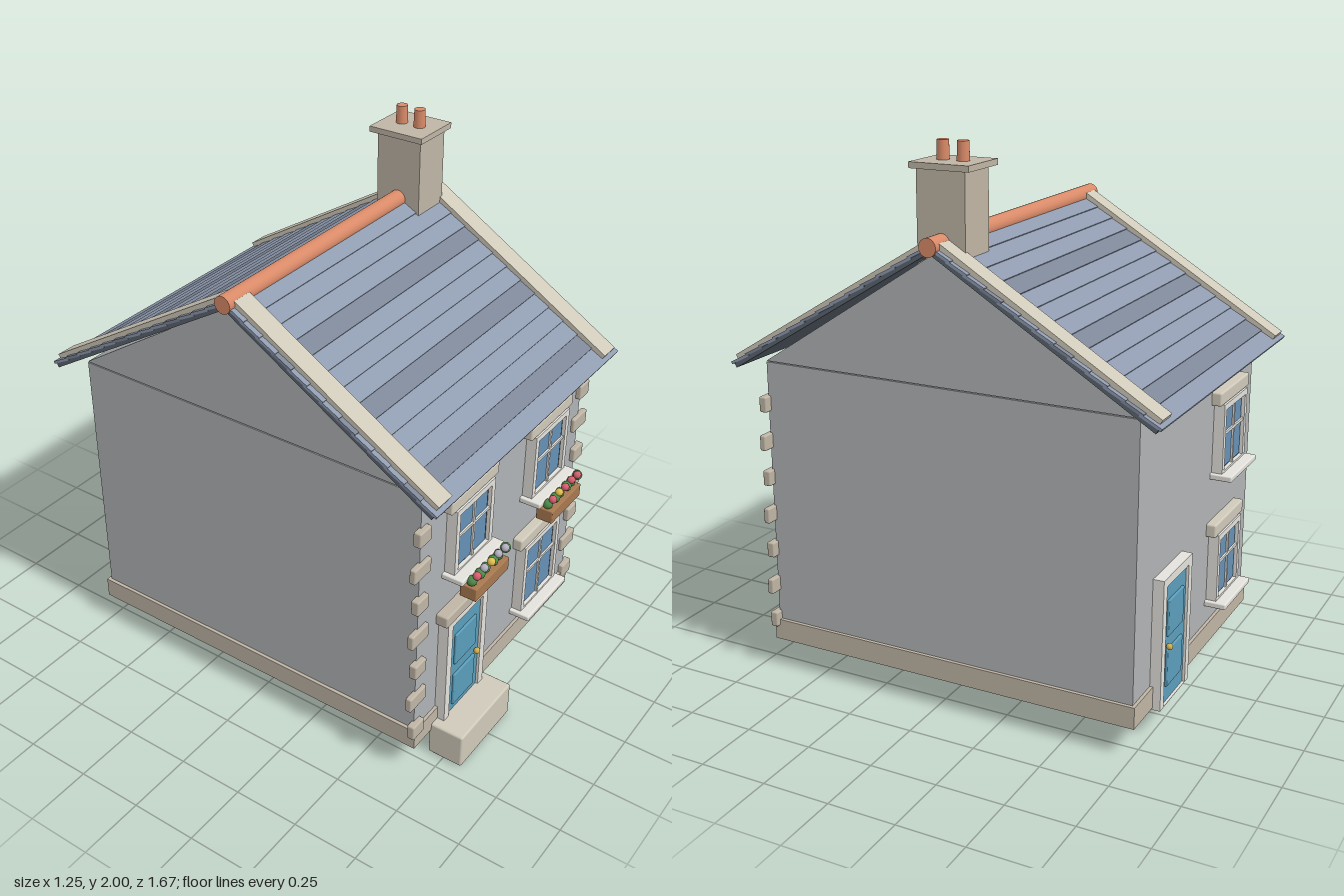
import * as THREE from 'three';
import { RoundedBoxGeometry } from 'three/addons/geometries/RoundedBoxGeometry.js';

const mat = (color) => new THREE.MeshStandardMaterial({ color });
const M = {
  wall: mat(0xb0b3b5), stone: mat(0xbfb5a5), paleStone: mat(0xcfc9b9), trim: mat(0xe4e2dc),
  slate: mat(0x8f9bb0), darkSlate: mat(0x7d8798), underlay: mat(0x5c6470), clay: mat(0xd98a68),
  glass: mat(0x6690b4), sash: mat(0x3a4c5e), door: mat(0x5a9dba), brass: mat(0xd0b050),
  wood: mat(0xa8794f), leaf: mat(0x4f8a4a), pink: mat(0xd8606f), yellow: mat(0xe0c050), lilac: mat(0xb5b2c0),
};
const MID = -0.03, FRONT = 0.685, BACK = -0.745;

function add(parent, name, geometry, material, x = 0, y = 0, z = 0) {
  const mesh = new THREE.Mesh(geometry, material);
  mesh.name = name;
  mesh.position.set(x, y, z);
  parent.add(mesh);
  return mesh;
}
// Box given by its limits
function box(parent, name, m, x0, x1, y0, y1, z0, z1, round = 0) {
  const s = [x1 - x0, y1 - y0, z1 - z0];
  const g = round ? new RoundedBoxGeometry(...s, 2, round) : new THREE.BoxGeometry(...s);
  return add(parent, name, g, m, (x0 + x1) / 2, (y0 + y1) / 2, (z0 + z1) / 2);
}
// Rectangular frame with an opening
function frame(parent, name, m, w, y0, y1, rim, bottomRim, depth) {
  const rect = (P, a, b, c, d) => new P([[a, c], [b, c], [b, d], [a, d]].map((p) => new THREE.Vector2(...p)));
  const s = rect(THREE.Shape, -w, w, y0, y1);
  s.holes.push(rect(THREE.Path, -w + rim, w - rim, y0 + bottomRim, y1 - rim));
  add(parent, name, new THREE.ExtrudeGeometry(s, { depth, bevelEnabled: false }), m);
}

// Window in a local frame: wall plane at z = 0, y = 0 at the sill top
function makeWindow(w, h, midY) {
  const g = new THREE.Group();
  g.name = 'window';
  frame(g, 'windowFrame', M.trim, w, -0.01, h, 0.022, 0.02, 0.04);
  box(g, 'sash', M.sash, -w + 0.02, w - 0.02, 0, h - 0.02, 0, 0.026);
  box(g, 'glass', M.glass, -w + 0.03, w - 0.03, 0.015, h - 0.03, 0, 0.029);
  box(g, 'mullion', M.trim, -0.005, 0.005, 0, h - 0.02, 0.02, 0.036);
  box(g, 'transom', M.trim, -w + 0.022, w - 0.022, midY - 0.005, midY + 0.005, 0.02, 0.036);
  box(g, 'windowSill', M.trim, -w - 0.016, w + 0.016, -0.02, 0.002, -0.01, 0.081, 0.005);
  box(g, 'lintel', M.paleStone, -w - 0.029, w + 0.029, h, h + 0.05, -0.01, 0.036, 0.007);
  return g;
}

// Door in a local frame: wall plane at z = 0, y in world height
function makeDoor(knobSide, y0) {
  const g = new THREE.Group();
  g.name = 'door';
  frame(g, 'doorFrame', M.trim, 0.133, y0, 0.587, 0.032, 0.002, 0.04);
  box(g, 'doorLeaf', M.door, -0.102, 0.102, y0 + 0.002, 0.556, 0, 0.03);
  for (const [a, b] of [[0.165, 0.305], [0.355, 0.49]])
    box(g, 'doorPanel', M.door, -0.07, 0.07, a, b, 0.025, 0.038, 0.004);
  add(g, 'doorKnob', new THREE.SphereGeometry(0.012, 16, 10), M.brass, knobSide * 0.072, 0.322, 0.044);
  return g;
}

// Planter with leaves and blossoms
function makeWindowBox(colors) {
  const g = new THREE.Group();
  g.name = 'windowBox';
  box(g, 'planter', M.wood, -0.11, 0.11, 0.7, 0.752, 0.055, 0.12, 0.004);
  const leaf = new THREE.SphereGeometry(0.019, 12, 8), bud = new THREE.SphereGeometry(0.015, 12, 8);
  for (let i = 0; i < 6; i++)
    add(g, 'leaves', leaf, M.leaf, -0.092 + i * 0.043, 0.768 + (i % 2) * 0.006, 0.09 + (i % 2) * 0.006);
  colors.forEach((c, i) => add(g, 'blossom', bud, M[c], -0.085 + i * 0.047, 0.79 + (i % 2) * 0.004, 0.105));
  return g;
}

// One roof slope: local z runs down from the ridge
function makeSlope() {
  const g = new THREE.Group(), length = 0.932, rows = 13, pitch = length / rows;
  g.name = 'roofSlope';
  box(g, 'roofBoard', M.underlay, -0.62, 0.62, 0, 0.016, 0, length - 0.003);
  for (let i = 0; i < rows; i++) {
    const row = box(g, 'slateRow', i % 4 === 1 ? M.darkSlate : M.slate, -0.622, 0.622, 0.015, 0.025, 0, pitch + 0.012);
    row.position.z = length - (i + 0.5) * pitch;
    row.rotation.x = -0.06;
  }
  for (const s of [-1, 1])
    box(g, 'coping', M.paleStone, s * 0.563 - 0.039, s * 0.563 + 0.039, 0.012, 0.043, 0, length - 0.012);
  g.rotation.x = Math.atan2(0.485, 0.797);
  return g;
}

export function createModel() {
  const house = new THREE.Group();
  house.name = 'house';

  // Walls, plinth and gable
  box(house, 'walls', M.wall, -0.55, 0.55, 0.12, 1.188, BACK, FRONT);
  box(house, 'plinth', M.stone, -0.563, 0.563, 0.11, 0.19, BACK - 0.012, FRONT + 0.012);
  const tri = new THREE.Shape([[-0.715, 1.192], [0.715, 1.192], [0, 1.655]].map((p) => new THREE.Vector2(...p)));
  const gable = add(house, 'gable', new THREE.ExtrudeGeometry(tri, { depth: 1.1, bevelEnabled: false }), M.wall, -0.55, 0, MID);
  gable.rotation.y = Math.PI / 2;
  box(house, 'wallJoint', M.wall, -0.545, 0.545, 1.18, 1.2, BACK + 0.01, FRONT - 0.01);

  // Roof slopes and ridge
  for (const turn of [0, Math.PI]) {
    const side = new THREE.Group();
    side.name = turn ? 'backRoof' : 'frontRoof';
    side.position.set(0, 1.657, MID);
    side.rotation.y = turn;
    side.add(makeSlope());
    house.add(side);
  }
  const ridge = add(house, 'ridge', new THREE.CylinderGeometry(0.032, 0.032, 1.255, 24), M.clay, 0, 1.677, MID);
  ridge.rotation.z = Math.PI / 2;

  // Chimney
  box(house, 'chimneyStack', M.stone, 0.378, 0.537, 1.56, 1.917, -0.12, 0.06);
  box(house, 'chimneyCap', M.stone, 0.357, 0.555, 1.914, 1.935, -0.143, 0.077);
  for (const z of [0.005, -0.07])
    add(house, 'chimneyPot', new THREE.CylinderGeometry(0.02, 0.022, 0.08, 20), M.clay, 0.456, 1.96, z);

  // Corner stones, alternating short and long
  for (const s of [-1, 1]) for (let i = 0; i < 7; i++) {
    const half = i % 2 ? 0.05 : 0.034, y = 0.195 + i * 0.14;
    box(house, 'cornerStone', M.stone, s * 0.547 - half, s * 0.547 + half, y - 0.029, y + 0.029,
      FRONT - 0.01, FRONT + (i % 2 ? 0.014 : 0.02), 0.006);
  }

  // Front and back openings; the back group is turned around
  const front = new THREE.Group(), back = new THREE.Group();
  front.name = 'frontOpenings';
  back.name = 'backOpenings';
  front.position.z = FRONT;
  back.position.z = BACK;
  back.rotation.y = Math.PI;
  house.add(front, back);
  const place = (parent, part, x, y = 0) => { part.position.set(x, y, 0); parent.add(part); };
  place(front, makeWindow(0.123, 0.262, 0.147), -0.267, 0.784);
  place(front, makeWindow(0.123, 0.262, 0.147), 0.264, 0.784);
  place(front, makeWindow(0.133, 0.298, 0.168), 0.262, 0.268);
  place(front, makeWindowBox(['pink', 'lilac', 'yellow', 'lilac', 'lilac']), -0.268);
  place(front, makeWindowBox(['pink', 'yellow', 'pink', 'pink', 'pink']), 0.263);
  place(front, makeDoor(1, 0.125), -0.278);
  box(front, 'doorLintel', M.stone, -0.43, -0.125, 0.58, 0.626, -0.01, 0.045, 0.007);
  box(front, 'doorStep', M.paleStone, -0.45, -0.108, 0, 0.137, 0.003, 0.14, 0.008);
  place(back, makeWindow(0.123, 0.262, 0.147), 0.264, 0.784);
  place(back, makeWindow(0.123, 0.262, 0.147), 0.264, 0.284);
  place(back, makeDoor(-1, 0.103), -0.268);
  return house;
}
